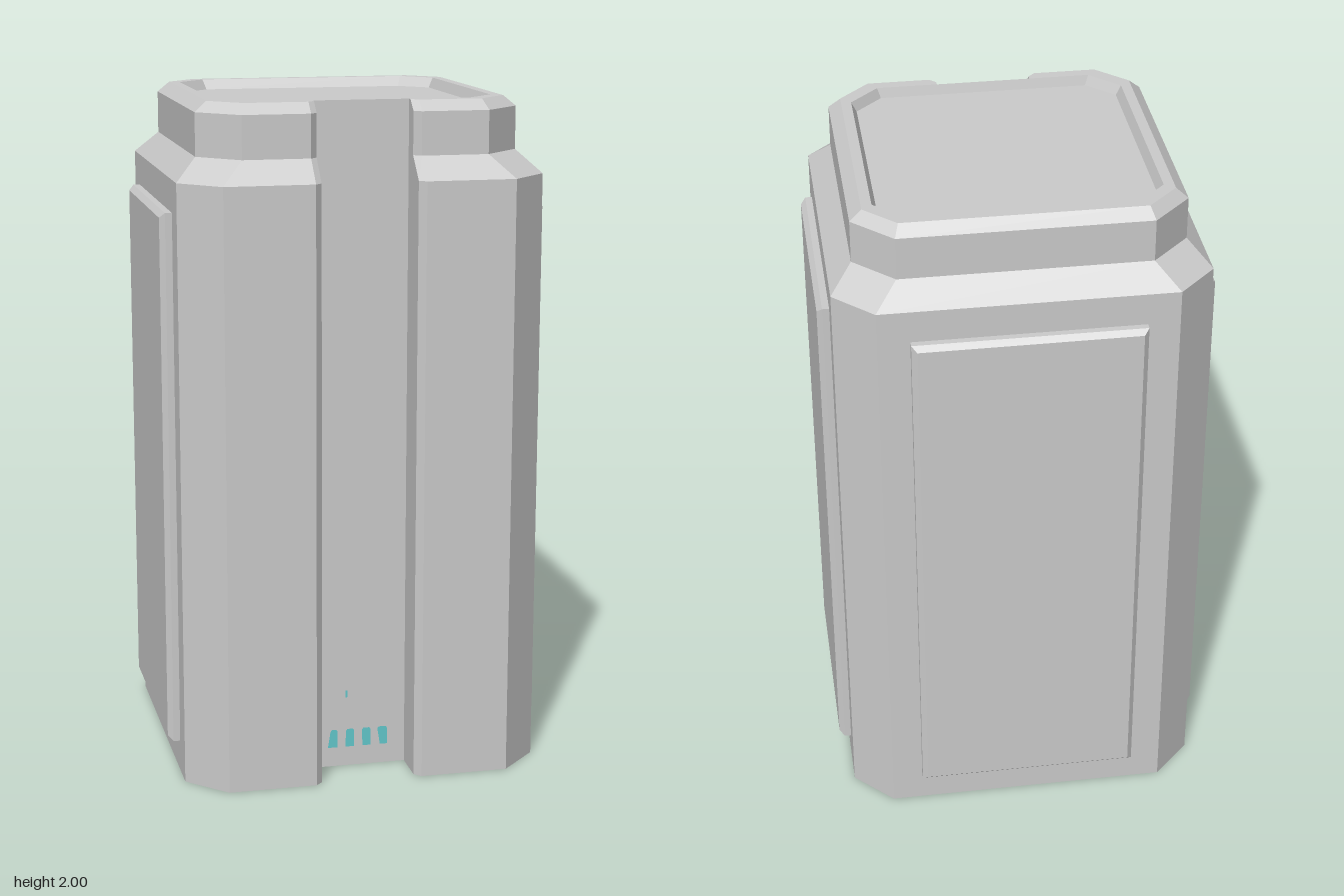
import * as THREE from 'three';

const grey = new THREE.MeshStandardMaterial({ color: 0xcccccc, flatShading: true });
const cyan = new THREE.MeshStandardMaterial({ color: 0x62c8cc, side: THREE.DoubleSide });

const GROOVE_X = 0.14, GROOVE_Z = 0.415, CUT = 0.02;

// Right half of a chamfered square, front to back, as [x, z]; c is the corner cut
const halfOctagon = (x, front, back, c) => [
  [x - c, front], [x, front - c], [x, back + c], [x - c, back],
];
const mirrored = (half) => [...half, ...half.map(([x, z]) => [-x, z]).reverse()];
const octagon = (...args) => mirrored(halfOctagon(...args));

// Chamfered square with the front groove cut in
const grooved = (x, front, back, c) => mirrored([
  [GROOVE_X, GROOVE_Z], [GROOVE_X, front - CUT], [GROOVE_X + CUT, front],
  ...halfOctagon(x, front, back, c),
]);

// Walls joining closed rings given as { y, ring }
function loft(levels) {
  const pos = [];
  for (let l = 0; l < levels.length - 1; l++) {
    const lo = levels[l], hi = levels[l + 1], n = lo.ring.length;
    for (let i = 0; i < n; i++) {
      const j = (i + 1) % n;
      const at = (s, k) => [s.ring[k][0], s.y, s.ring[k][1]];
      const a = at(lo, i), b = at(lo, j), c = at(hi, j), d = at(hi, i);
      pos.push(...a, ...b, ...c, ...a, ...c, ...d);
    }
  }
  const g = new THREE.BufferGeometry();
  g.setAttribute('position', new THREE.Float32BufferAttribute(pos, 3));
  g.computeVertexNormals();
  return g;
}

// Flat horizontal face filling an outline, facing up (1) or down (-1)
function cap(ring, y, facing) {
  const shape = new THREE.Shape(ring.map(([x, z]) => new THREE.Vector2(x, -facing * z)));
  return new THREE.ShapeGeometry(shape).rotateX(-facing * Math.PI / 2).translate(0, y, 0);
}

// Raised panel with a bevelled face, pointing along +z
function panelGeometry(width, height) {
  const b = 0.015, w = width / 2 - b, h = height / 2 - b;
  const shape = new THREE.Shape([[-w, -h], [w, -h], [w, h], [-w, h]].map((p) => new THREE.Vector2(...p)));
  return new THREE.ExtrudeGeometry(shape, {
    depth: 0.02, bevelEnabled: true, bevelThickness: b, bevelSize: b, bevelSegments: 1,
  });
}

export function createModel() {
  const model = new THREE.Group();
  const add = (name, geometry, material = grey, parent = model) => {
    const mesh = new THREE.Mesh(geometry, material);
    mesh.name = name;
    parent.add(mesh);
    return mesh;
  };

  // Body: straight sides, sloped shoulder, neck and bevelled top edge
  const base = grooved(0.535, 0.55, -0.52, 0.113);
  const neck = grooved(0.47, 0.485, -0.45, 0.113);
  const top = grooved(0.435, 0.45, -0.418, 0.09);
  add('bodyWalls', loft([
    { y: 0, ring: base }, { y: 1.78, ring: base },
    { y: 1.845, ring: neck }, { y: 1.97, ring: neck }, { y: 2, ring: top },
  ]));
  add('bodyBottom', cap(base, 0, -1));

  // Top rim, open at the groove, around a shallow recess
  const recessEdge = octagon(0.405, GROOVE_Z, -0.39, 0.085);
  const recessFloor = octagon(0.39, 0.408, -0.375, 0.08);
  add('topRim', cap([...top, ...[...recessEdge].reverse()], 2, 1));
  add('recessWalls', loft([{ y: 2, ring: recessEdge }, { y: 1.97, ring: recessFloor }]));
  add('recessFloor', cap(recessFloor, 1.97, 1));

  // Raised panels on both sides and the back
  for (const side of [1, -1]) {
    const panel = add(side > 0 ? 'leftPanel' : 'rightPanel', panelGeometry(0.66, 1.59));
    panel.position.set(side * 0.535, 0.89, 0.018);
    panel.rotation.y = side * Math.PI / 2;
  }
  const back = add('backPanel', panelGeometry(0.66, 1.59));
  back.position.set(0, 0.89, -0.52);
  back.rotation.y = Math.PI;

  // Indicator lights at the foot of the groove, the outer ones leaning inwards
  const lights = new THREE.Group();
  lights.name = 'indicatorLights';
  model.add(lights);
  [-0.08, -0.029, 0.022, 0.073].forEach((x, i) => {
    const lean = [0.008, 0.002, -0.002, -0.008][i], w = 0.013;
    const shape = new THREE.Shape([
      [x - w - lean / 2, 0.06], [x + w, 0.06], [x + w, 0.11],
      [x + w - 0.004, 0.116], [x - w + 0.004 + lean / 2, 0.116], [x - w + lean / 2, 0.11],
    ].map((p) => new THREE.Vector2(...p)));
    add('light', new THREE.ShapeGeometry(shape).translate(0, 0, GROOVE_Z + 0.002), cyan, lights);
  });
  const dot = add('smallLight', new THREE.PlaneGeometry(0.006, 0.022), cyan, lights);
  dot.position.set(-0.04, 0.228, GROOVE_Z + 0.002);

  return model;
}
